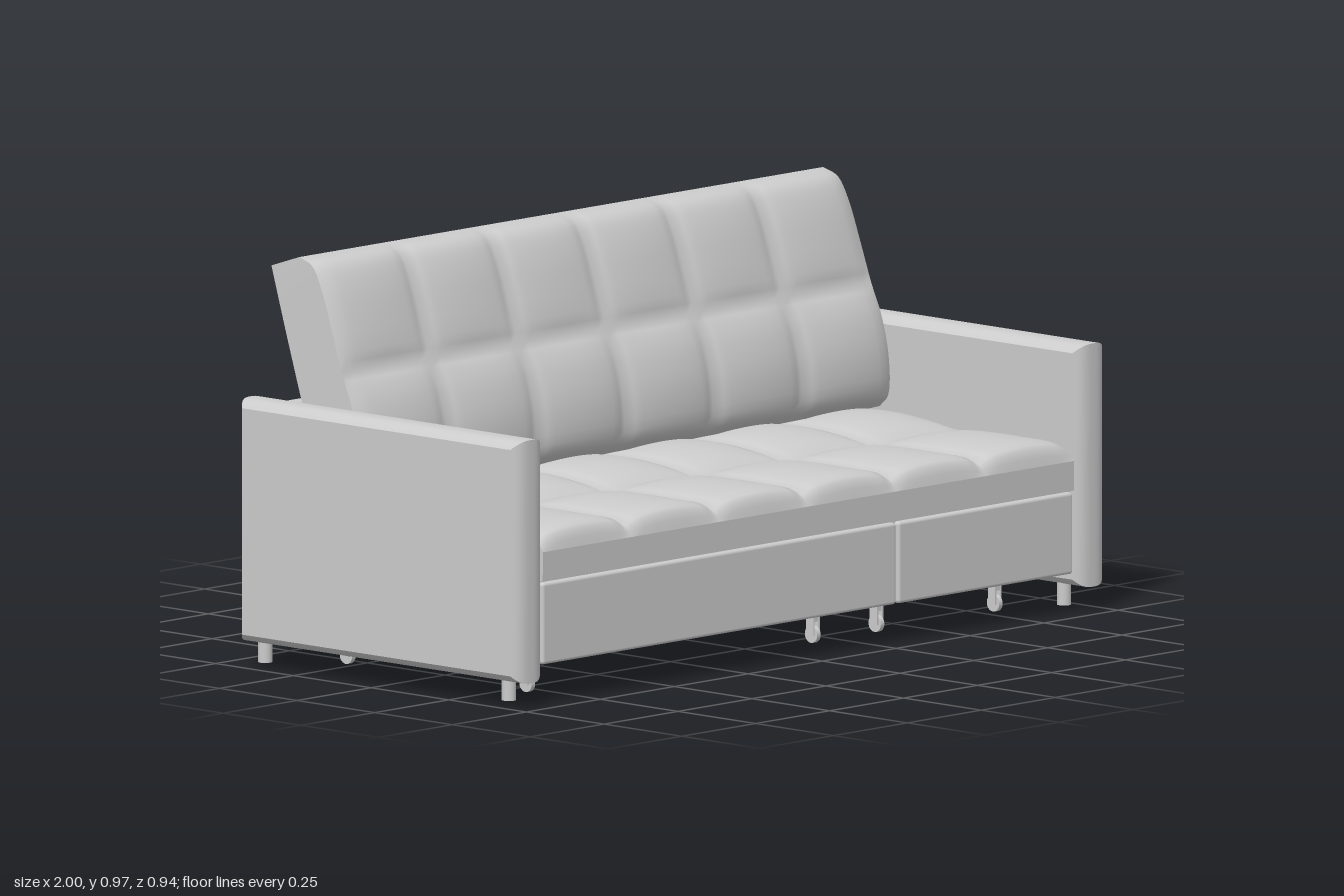
import * as THREE from 'three';
import { RoundedBoxGeometry } from 'three/addons/geometries/RoundedBoxGeometry.js';

const grey = new THREE.MeshStandardMaterial({ color: 0xcccccc });

function add(parent, name, geometry, x = 0, y = 0, z = 0) {
  const mesh = new THREE.Mesh(geometry, grey);
  mesh.name = name;
  mesh.position.set(x, y, z);
  parent.add(mesh);
  return mesh;
}

// Box given by its min and max corners
function block(parent, name, [x0, y0, z0], [x1, y1, z1], radius = 0) {
  const size = [x1 - x0, y1 - y0, z1 - z0];
  const geometry = radius ? new RoundedBoxGeometry(...size, 2, radius) : new THREE.BoxGeometry(...size);
  return add(parent, name, geometry, (x0 + x1) / 2, (y0 + y1) / 2, (z0 + z1) / 2);
}

// Height of one stitched pillow: zero on its seams, nearly flat in the middle
const puff = t => Math.pow(Math.abs(Math.sin(Math.PI * t)), 0.45);

// Cushion with 6 x 2 stitched pillows. The outer side follows the [y, z] points,
// the inner side is the straight line between two [y, z] points.
function quiltedCushion({ outer, inner, bulge, taper }) {
  const curve = new THREE.CatmullRomCurve3(outer.map(([y, z]) => new THREE.Vector3(0, y, z)));
  const [[ya, za], [yb, zb]] = inner;
  const geometry = new THREE.BoxGeometry(1, 1, 1, 72, 32, 1);
  const pos = geometry.attributes.position;
  for (let i = 0; i < pos.count; i++) {
    const u = pos.getX(i) + 0.5, v = pos.getY(i) + 0.5;
    const x = (u - 0.5) * (1.795 - taper * v * v);
    if (pos.getZ(i) > 0) {
      const p = curve.getPoint(v);
      const h = puff(u * 6) * puff(v * 2);
      pos.setXYZ(i, x, p.y + bulge[0] * h, p.z + bulge[1] * h);
    } else {
      pos.setXYZ(i, x, ya + (yb - ya) * v, za + (zb - za) * v);
    }
  }
  geometry.computeVertexNormals();
  return geometry;
}

// Arm slab whose narrow faces are crowned across the thickness
function armGeometry(w, h, d) {
  const geometry = new THREE.BoxGeometry(w, h, d, 12, 1, 1);
  const pos = geometry.attributes.position;
  for (let i = 0; i < pos.count; i++) {
    const inset = 0.02 * Math.pow(Math.abs(2 * pos.getX(i) / w), 3);
    pos.setY(i, pos.getY(i) - Math.sign(pos.getY(i)) * inset);
    pos.setZ(i, pos.getZ(i) - Math.sign(pos.getZ(i)) * inset);
  }
  geometry.computeVertexNormals();
  return geometry;
}

export function createModel() {
  const sofa = new THREE.Group();
  sofa.name = 'sofa';

  // Arms with their feet
  for (const side of [-1, 1]) {
    const label = side > 0 ? 'left' : 'right';
    add(sofa, label + 'Arm', armGeometry(0.1, 0.575, 0.903), side * 0.95, 0.3475, 0.0165);
    for (const z of [0.385, -0.4]) {
      add(sofa, label + 'Foot', new THREE.CylinderGeometry(0.017, 0.017, 0.07, 20), side * 0.938, 0.045, z);
    }
  }

  // Drawers, running through the whole depth
  block(sofa, 'wideDrawer', [-0.897, 0.095, -0.468], [0.299, 0.288, 0.455], 0.008);
  block(sofa, 'narrowDrawer', [0.306, 0.095, -0.466], [0.897, 0.288, 0.455], 0.008);

  // Frame behind and under the cushions
  block(sofa, 'seatPlatform', [-0.9, 0.275, -0.43], [0.9, 0.3, 0.44]);
  block(sofa, 'backPanel', [-0.9, 0.285, -0.435], [0.9, 0.61, -0.322]);

  // Seat, from the front edge to the rear
  add(sofa, 'seatCushion', quiltedCushion({
    outer: [[0.362, 0.456], [0.384, 0.435], [0.388, 0.33], [0.39, 0.2], [0.392, 0.1],
      [0.396, 0.01], [0.4, -0.08], [0.4, -0.17], [0.4, -0.25]],
    inner: [[0.292, 0.455], [0.292, -0.25]],
    bulge: [0.032, 0],
    taper: 0,
  }));

  // Backrest, from the bottom to the rounded top
  add(sofa, 'backrest', quiltedCushion({
    outer: [[0.42, -0.17], [0.45, -0.142], [0.54, -0.14], [0.635, -0.162], [0.71, -0.194],
      [0.8, -0.226], [0.9, -0.264], [0.95, -0.295], [0.967, -0.34]],
    inner: [[0.4, -0.243], [0.937, -0.43]],
    bulge: [0.007, 0.021],
    taper: 0.025,
  }));

  // Casters under the drawers
  for (const x of [-0.79, 0.175, 0.39, 0.79]) {
    for (const z of [0.303, -0.275]) {
      const caster = new THREE.Group();
      caster.name = 'caster';
      caster.position.set(x, 0, z);
      for (const side of [-1, 1]) {
        add(caster, 'casterFork', new THREE.BoxGeometry(0.005, 0.08, 0.024), side * 0.0085, 0.06, 0);
      }
      add(caster, 'casterBridge', new THREE.BoxGeometry(0.02, 0.045, 0.022), 0, 0.075, 0);
      const wheel = add(caster, 'casterWheel', new THREE.CylinderGeometry(0.02, 0.02, 0.012, 24), 0, 0.022, 0);
      wheel.rotation.z = Math.PI / 2;
      sofa.add(caster);
    }
  }
  return sofa;
}
